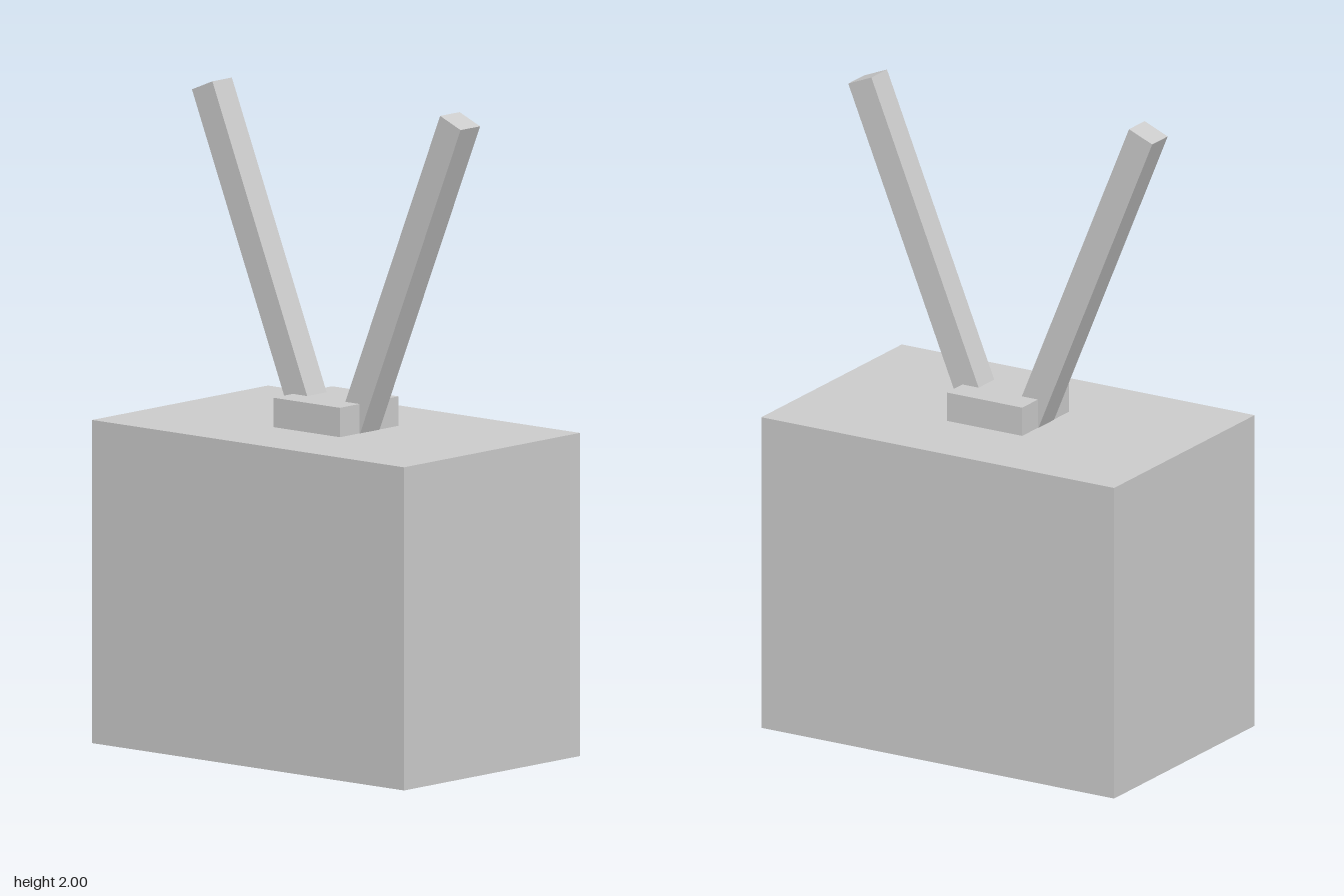
import * as THREE from 'three';

const material = new THREE.MeshStandardMaterial({ color: 0xcccccc, flatShading: true });

function box(name, w, h, d, x, y, z) {
  const mesh = new THREE.Mesh(new THREE.BoxGeometry(w, h, d), material);
  mesh.name = name;
  mesh.position.set(x, y, z);
  return mesh;
}

export function createModel() {
  const model = new THREE.Group();
  model.name = 'televisionWithAntenna';

  const bodyHeight = 0.99;
  const baseHeight = 0.09;

  // Cabinet and the small antenna base on top of it
  model.add(box('body', 1.254, bodyHeight, 0.803, 0, bodyHeight / 2, 0));
  model.add(box('antennaBase', 0.268, baseHeight, 0.268, 0, bodyHeight + baseHeight / 2, 0));

  // Two square rods spread in a V, their feet sunk into the base
  const tilt = Math.PI / 8;
  const length = 1.08;
  const tip = { x: 0.499, y: 1.983 };
  for (const side of [1, -1]) {
    const x = side * (tip.x - Math.sin(tilt) * length / 2);
    const y = tip.y - Math.cos(tilt) * length / 2;
    const rod = box(side > 0 ? 'leftAntenna' : 'rightAntenna', 0.089, length, 0.089, x, y, 0);
    rod.rotation.z = -side * tilt;
    model.add(rod);
  }

  return model;
}
